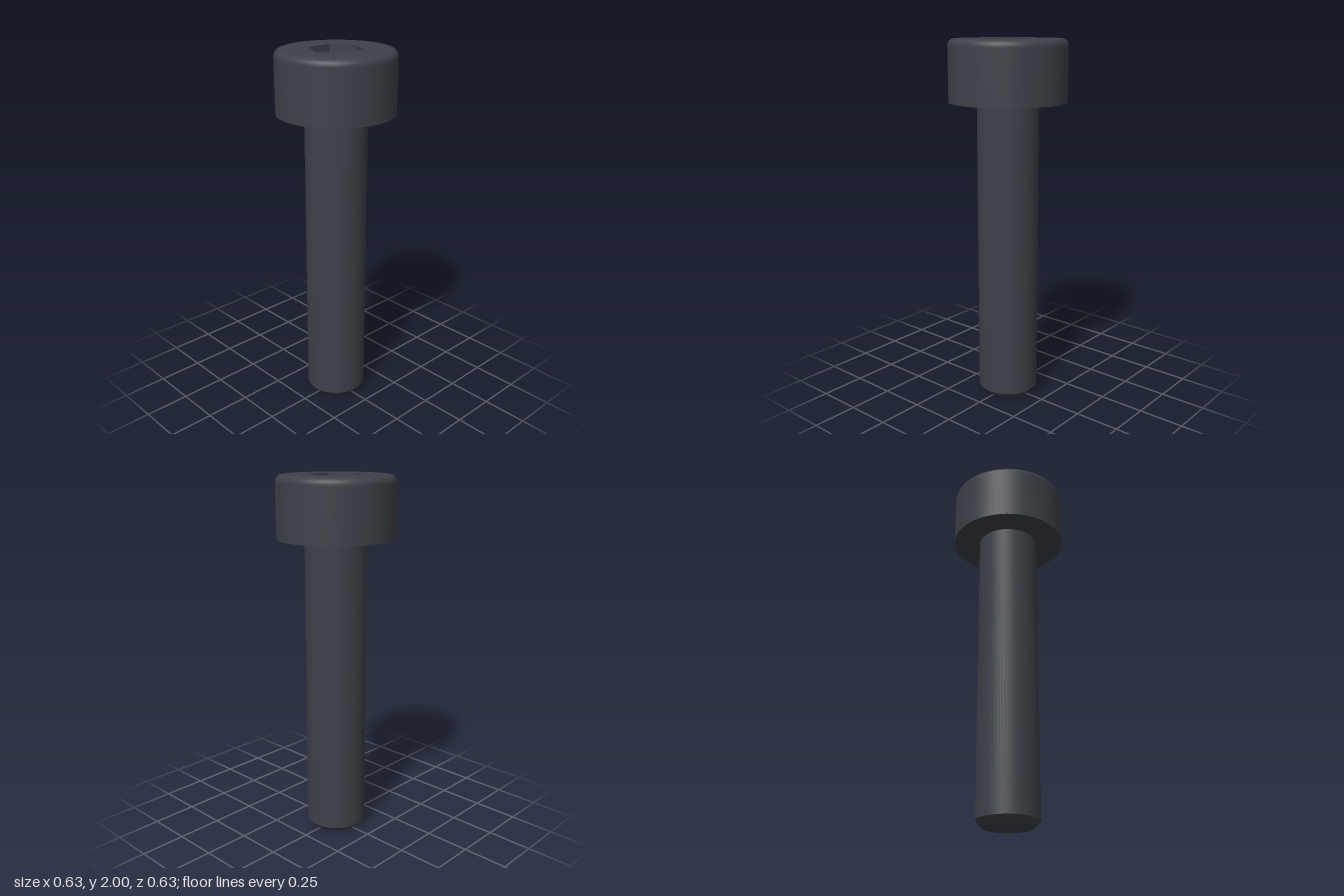
import * as THREE from 'three';

const SEG = 64;
const HEAD_R = 0.317, HEAD_BASE = 1.67, TOP = 2, FILLET = 0.036;
const SHANK_R = 0.167, TIP_R = 0.132, CHAMFER = 0.036;
const SOCKET_R = 0.146, SOCKET_DEPTH = 0.17;

export function createModel() {
  const group = new THREE.Group();
  const steel = new THREE.MeshStandardMaterial({ color: 0x3d4148 });
  steel.name = 'blackened steel';

  const add = (name, geometry, parent) => {
    const mesh = new THREE.Mesh(geometry, steel);
    mesh.name = name;
    parent.add(mesh);
  };
  const part = (name) => {
    const g = new THREE.Group();
    g.name = name;
    group.add(g);
    return g;
  };
  // Separate bands keep the edges between them sharp
  const band = (points) =>
    new THREE.LatheGeometry(points.map(([r, y]) => new THREE.Vector2(r, y)), SEG);

  // Shank with chamfered tip
  const shank = part('shank');
  add('tipFace', new THREE.CircleGeometry(TIP_R, SEG).rotateX(Math.PI / 2), shank);
  add('tipChamfer', band([[TIP_R, 0], [SHANK_R, CHAMFER]]), shank);
  add('shankSide', band([[SHANK_R, CHAMFER], [SHANK_R, HEAD_BASE]]), shank);

  // Head: underside, then side wall rolling into a rounded rim
  const head = part('head');
  add('headUnderside', band([[SHANK_R, HEAD_BASE], [HEAD_R, HEAD_BASE]]), head);
  const profile = [[HEAD_R, HEAD_BASE], [HEAD_R, TOP - FILLET - 0.003]];
  for (let i = 0; i <= 8; i++) {
    const a = (i / 8) * Math.PI / 2;
    profile.push([
      HEAD_R - FILLET + FILLET * Math.cos(a),
      TOP - FILLET + FILLET * Math.sin(a),
    ]);
  }
  add('headSide', band(profile), head);

  // Flat top pierced by the hexagonal socket
  const face = new THREE.Shape().absarc(0, 0, HEAD_R - FILLET, 0, Math.PI * 2, false);
  const hex = [];
  for (let i = 0; i < 6; i++) {
    const a = Math.PI / 2 - i * Math.PI / 3;
    hex.push(new THREE.Vector2(SOCKET_R * Math.cos(a), SOCKET_R * Math.sin(a)));
  }
  face.holes.push(new THREE.Path(hex));
  add('headTop', new THREE.ShapeGeometry(face, SEG / 2).rotateX(-Math.PI / 2).translate(0, TOP, 0), head);

  // Socket walls are mirrored so that they face inward
  const socket = part('hexSocket');
  const walls = new THREE.CylinderGeometry(SOCKET_R, SOCKET_R, SOCKET_DEPTH, 6, 1, true)
    .scale(-1, 1, 1)
    .translate(0, TOP - SOCKET_DEPTH / 2, 0)
    .toNonIndexed();
  walls.computeVertexNormals();
  add('socketWalls', walls, socket);
  const floor = new THREE.ShapeGeometry(new THREE.Shape(hex));
  add('socketFloor', floor.rotateX(-Math.PI / 2).translate(0, TOP - SOCKET_DEPTH, 0), socket);

  return group;
}
